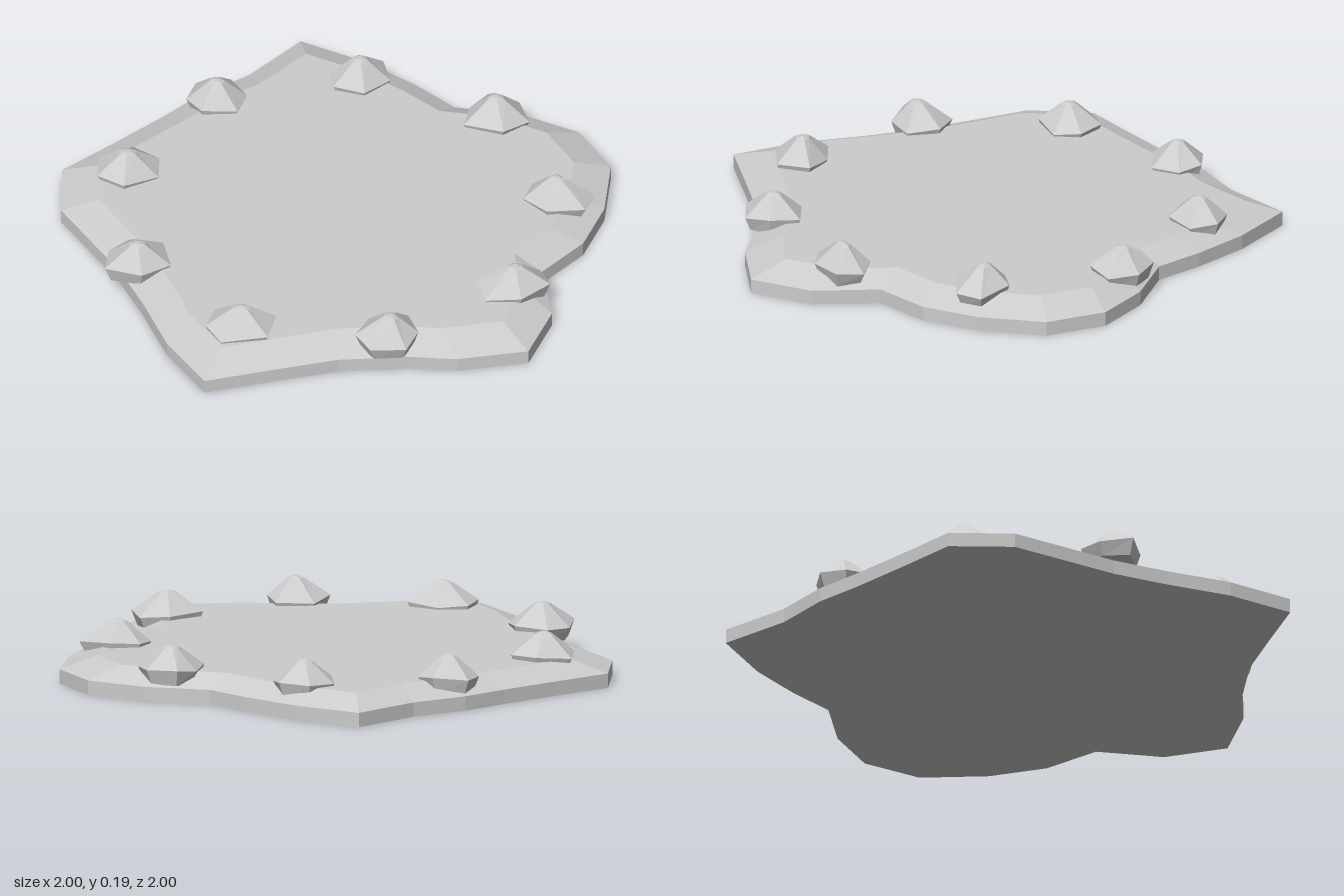
import * as THREE from 'three';

const stone = new THREE.MeshStandardMaterial({ color: 0xcccccc, flatShading: true });
stone.name = 'grey stone';

// Joins stacked rings of [x, y, z] points (bottom to top) and closes both ends.
function loft(rings) {
  const pos = [];
  const tri = (...pts) => pts.forEach(p => pos.push(...p));
  const n = rings[0].length;
  const centre = r => [0, 1, 2].map(k => r.reduce((s, p) => s + p[k], 0) / n);
  const bottom = rings[0], top = rings[rings.length - 1];
  const cb = centre(bottom), ct = centre(top);
  for (let i = 0; i < n; i++) {
    const j = (i + 1) % n;
    for (let k = 0; k + 1 < rings.length; k++) {
      const a = rings[k], b = rings[k + 1];
      tri(a[j], a[i], b[i]);
      tri(a[j], b[i], b[j]);
    }
    tri(cb, bottom[i], bottom[j]);
    tri(ct, top[j], top[i]);
  }
  const g = new THREE.BufferGeometry();
  g.setAttribute('position', new THREE.Float32BufferAttribute(pos, 3));
  g.computeVertexNormals();
  return g;
}

const ring = (pts, s, y) => pts.map(([x, z]) => [x * s, y, z * s]);

// Ragged slab outline in x, z
const outline = [
  [-0.07, -1], [0.16, -0.86], [0.33, -0.71], [0.46, -0.57], [0.70, -0.51], [0.90, -0.39],
  [1, -0.18], [0.96, 0.07], [0.87, 0.27], [0.71, 0.43], [0.73, 0.68], [0.63, 0.90],
  [0.37, 0.93], [0.20, 0.905], [-0.06, 0.905], [-0.30, 0.95], [-0.55, 1], [-0.67, 0.77],
  [-0.74, 0.53], [-0.81, 0.33], [-0.88, 0.19], [-1, -0.05], [-0.98, -0.29], [-0.78, -0.44],
  [-0.60, -0.58], [-0.46, -0.70], [-0.27, -0.81],
];

// Border rocks: centre x, z and six corner offsets in hundredths
const rocks = [
  { at: [0.125, -0.705], c: [[-2, -10], [9, -7], [11, 3], [1, 11], [-10, 7], [-11, -3]] },
  { at: [0.6, -0.445], c: [[-2, -11], [9, -6], [12, 5], [2, 12], [-12, 6], [-9, -5]] },
  { at: [0.785, 0.05], c: [[3, -9], [14, 1], [10, 10], [-4, 11], [-12, 1], [-8, -7]] },
  { at: [0.6, 0.57], c: [[-1, -10], [10, -8], [13, 2], [2, 10], [-11, 9], [-13, -2]] },
  { at: [0.135, 0.835], c: [[-7, -10], [7, -10], [10, 1], [5, 10], [-8, 10], [-13, 1]] },
  { at: [-0.4, 0.745], c: [[2, -9], [13, -3], [9, 9], [-8, 10], [-13, 1], [-9, -9]] },
  { at: [-0.75, 0.345], c: [[-2, -13], [10, -9], [12, 3], [1, 9], [-12, 5], [-10, -7]] },
  { at: [-0.75, -0.205], c: [[3, -12], [12, -5], [11, 5], [-2, 11], [-11, 4], [-10, -8]] },
  { at: [-0.4, -0.61], c: [[6, -9], [11, -1], [7, 9], [-6, 9], [-11, 0], [-7, -9]] },
];

export function createModel() {
  const model = new THREE.Group();
  model.name = 'stoneRing';

  // Slab with upright edge and bevelled rim
  const slab = new THREE.Mesh(
    loft([ring(outline, 1, 0), ring(outline, 1, 0.053), ring(outline, 0.863, 0.1)]), stone);
  slab.name = 'slab';
  model.add(slab);

  // Rocks: tapered foot, wide uneven waist, small blunt tip
  rocks.forEach(({ at, c }, r) => {
    const pts = c.map(([x, z]) => [x / 100, z / 100]);
    const waist = ring(pts, 1, 0.113).map(([x, y, z], i) => [x, y + 0.007 * Math.sin(i * 2.1 + r), z]);
    const rock = new THREE.Mesh(
      loft([ring(pts, 0.82, 0.06), waist, ring(pts, 0.26, 0.185), ring(pts, 0.1, 0.193)]), stone);
    rock.name = `rock${r + 1}`;
    rock.position.set(at[0], 0, at[1]);
    model.add(rock);
  });

  return model;
}
